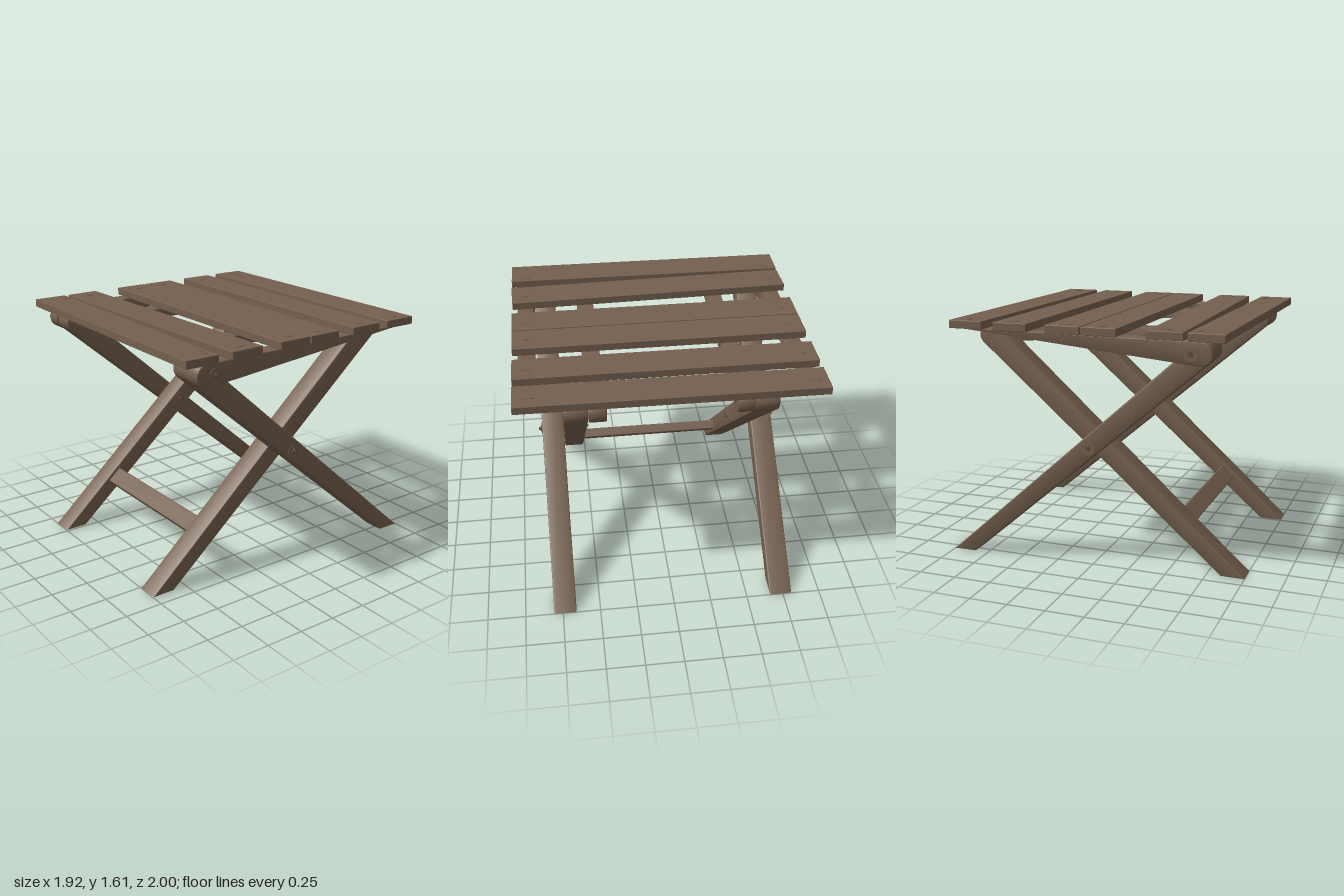
import * as THREE from 'three';
import { toCreasedNormals } from 'three/addons/utils/BufferGeometryUtils.js';
import { RoundedBoxGeometry } from 'three/addons/geometries/RoundedBoxGeometry.js';

const wood = new THREE.MeshStandardMaterial({ color: 0x75604f });
wood.name = 'brown wood';
const metal = new THREE.MeshStandardMaterial({ color: 0x5e5046 });
metal.name = 'dark metal';

function add(parent, name, geometry, material, x = 0, y = 0, z = 0) {
  const mesh = new THREE.Mesh(geometry, material);
  mesh.name = name;
  mesh.position.set(x, y, z);
  parent.add(mesh);
  return mesh;
}

// Side profile in (z, y), extruded along x with softened edges.
function board(shape, width) {
  const b = 0.01;
  const g = new THREE.ExtrudeGeometry(shape, {
    depth: width - 2 * b, bevelEnabled: true, bevelThickness: b, bevelSize: b,
    bevelOffset: -b, bevelSegments: 2, curveSegments: 14,
  });
  g.translate(0, 0, -width / 2 + b);
  g.rotateY(-Math.PI / 2);
  return toCreasedNormals(g, 0.5);
}

// Tapered leg: flat foot at -z, rounded head at +z.
function legShape() {
  const r = 0.074, hz = 0.753, hy = 1.48, a = Math.atan(0.884);
  const s = new THREE.Shape();
  s.moveTo(-1, 0.004);
  s.lineTo(-0.845, 0.004);
  s.absarc(hz, hy, r, a - Math.PI / 2, a + Math.PI / 2, false);
  s.closePath();
  return s;
}

// Seat rail: square at -z, rounded at +z.
function railShape() {
  const s = new THREE.Shape();
  s.moveTo(-0.83, 1.407);
  s.absarc(0.76, 1.482, 0.075, -Math.PI / 2, Math.PI / 2, false);
  s.lineTo(-0.83, 1.557);
  s.closePath();
  return s;
}

// Washer, nut and pin end, pointing along dir on the x axis.
function bolt(parent, name, x, y, z, dir, reach = 0.024) {
  const group = new THREE.Group();
  group.name = name;
  [[0.046, 0.004, 24], [0.02, reach * 0.55, 6], [0.01, reach, 10]].forEach(([r, h, n], i) => {
    const g = new THREE.CylinderGeometry(r, r, h, n);
    g.translate(0, h / 2, 0);
    g.rotateZ(-dir * Math.PI / 2);
    add(group, ['washer', 'nut', 'pin'][i], g, i ? metal : wood);
  });
  group.position.set(x, y, z);
  parent.add(group);
}

export function createModel() {
  const model = new THREE.Group();
  model.name = 'foldingStool';

  // Crossed legs, seat rails and bolts on both sides
  const legGeo = board(legShape(), 0.149);
  const railGeo = board(railShape(), 0.112);
  for (const side of [1, -1]) {
    const name = side > 0 ? 'left' : 'right';
    add(model, name + 'OuterLeg', legGeo, wood, side * 0.735, 0, 0);
    add(model, name + 'InnerLeg', legGeo, wood, side * 0.585, 0, 0).rotation.y = Math.PI;
    add(model, name + 'OuterRail', railGeo, wood, side * 0.866, 0, 0);
    add(model, name + 'InnerRail', railGeo, wood, side * 0.453, 0, 0).rotation.y = Math.PI;
    bolt(model, name + 'OuterRailBolt', side * 0.922, 1.48, 0.7, side);
    bolt(model, name + 'InnerRailBolt', side * 0.397, 1.48, -0.7, -side, 0.008);
    bolt(model, name + 'OuterLegBolt', side * 0.809, 0.815, 0, side);
    bolt(model, name + 'InnerLegBolt', side * 0.511, 0.815, 0, -side);
  }

  // Stretcher between the inner legs, tilted with them
  const stretcher = add(model, 'stretcher', new RoundedBoxGeometry(1.04, 0.068, 0.122, 2, 0.008), wood, 0, 0.317, 0.567);
  stretcher.rotation.x = Math.atan(0.884);

  // Seat slats: centre z at the right end, centre z at the left end, screw pairs or single screws
  const slats = [
    [-0.765, -0.752, true], [-0.457, -0.453, false], [-0.104, -0.104, false],
    [0.133, 0.133, false], [0.55, 0.495, false], [0.803, 0.817, true],
  ];
  slats.forEach(([z0, z1, pair], i) => {
    const slat = new THREE.Group();
    slat.name = 'slat' + (i + 1);
    slat.position.set(-0.002, 1.585, (z0 + z1) / 2);
    slat.rotation.y = -Math.atan2(z1 - z0, 1.92);
    add(slat, 'board', new RoundedBoxGeometry(1.915, 0.052, 0.228, 1, 0.004), wood);
    const dz = [-0.015, 0, 0.012, -0.01, -0.008, -0.066][i];
    for (const x of pair ? [-0.888, -0.848, 0.84, 0.878] : [-0.865, 0.867]) {
      const r = pair ? 0.019 : 0.028;
      add(slat, 'screwHead', new THREE.CylinderGeometry(r, r, 0.004, 20), wood, x, 0.027, dz);
    }
    model.add(slat);
  });
  return model;
}
